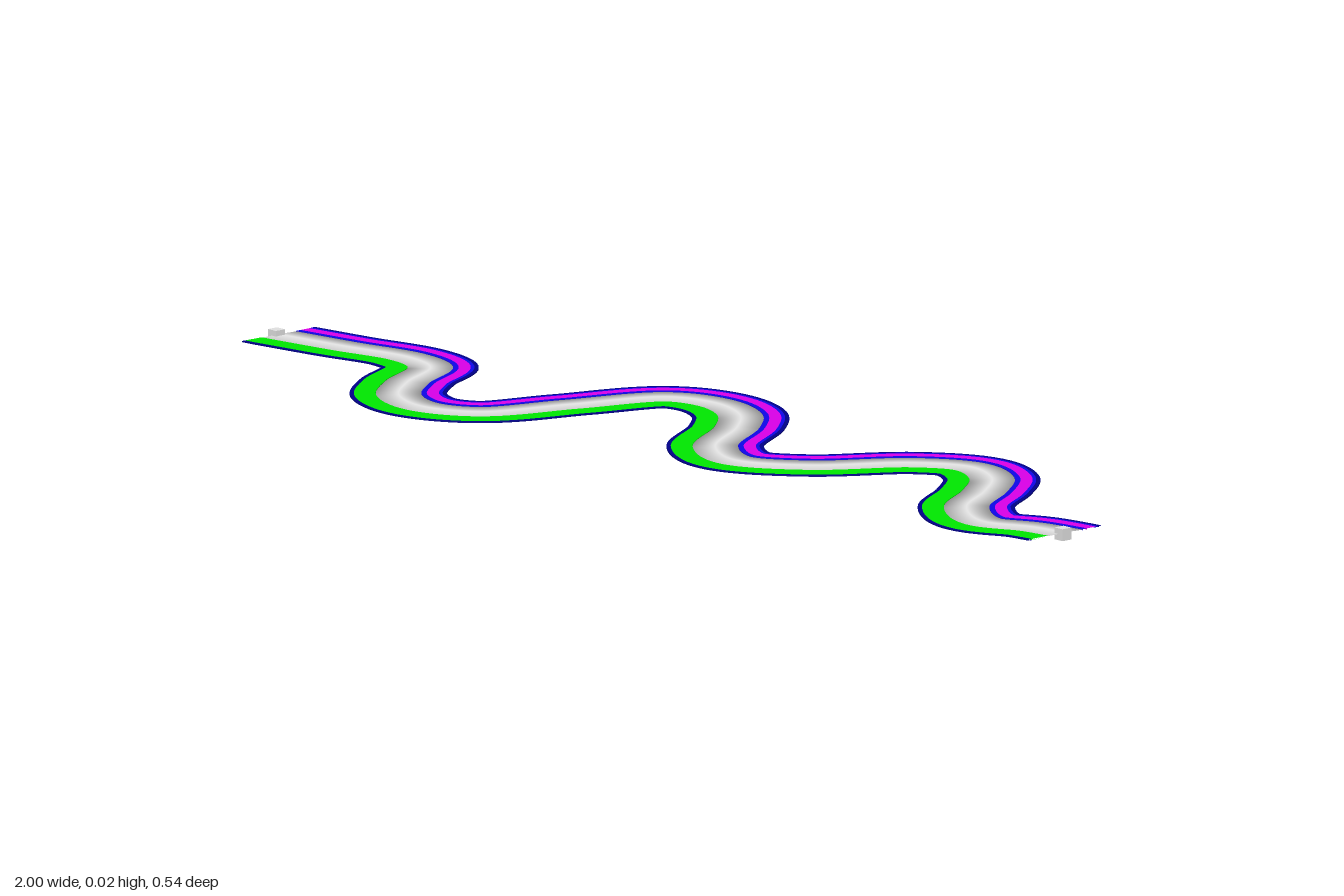
import * as THREE from 'three';

const material = (name, color) => new THREE.MeshStandardMaterial({ name, color });

const navy = material('navy', 0x000088);
const blue = material('blue', 0x1008ff);
const magenta = material('magenta', 0xf000ff);
const green = material('green', 0x00ff00);
const white = material('white', 0xffffff);
const grey = material('grey', 0xe0e0e0);

// Centre line of the winding band, as [x, z]
const path = new THREE.CatmullRomCurve3([
  [-0.99, 0.015], [-0.853, -0.008], [-0.72, -0.034], [-0.64, -0.012], [-0.58, 0.09],
  [-0.51, 0.168], [-0.42, 0.192], [-0.33, 0.146], [-0.275, -0.005], [-0.215, -0.16],
  [-0.13, -0.19], [-0.04, -0.165], [0.035, -0.095], [0.12, 0.025], [0.222, 0.068],
  [0.33, 0.0], [0.425, -0.14], [0.51, -0.192], [0.595, -0.165], [0.665, -0.09],
  [0.735, 0.01], [0.837, 0.062], [0.92, 0.028], [0.99, 0.015],
].map(([x, z]) => new THREE.Vector3(x, 0, z)));

const STEPS = 260;
const MID = 0.01;      // height of the band
const HALF = 0.001;    // half its thickness
const frames = Array.from({ length: STEPS + 1 }, (_, i) => {
  const p = path.getPointAt(i / STEPS);
  const t = path.getTangentAt(i / STEPS);
  if (i === 0 || i === STEPS) t.set(1, 0, 0);
  return { p, t };
});

// Sweeps section sides along the path; each side joins two points
// given as [side offset, height, sideways normal, upward normal]
function sweep(name, sides, mat) {
  const positions = [];
  const normals = [];
  const index = [];
  for (const side of sides) {
    const start = positions.length / 3;
    frames.forEach(({ p, t }, i) => {
      for (const [s, y, ns, ny] of side) {
        positions.push(p.x - t.z * s, y, p.z + t.x * s);
        normals.push(-t.z * ns, ny, t.x * ns);
      }
      const k = start + i * 2;
      if (i < STEPS) index.push(k, k + 1, k + 2, k + 1, k + 3, k + 2);
    });
  }
  const geometry = new THREE.BufferGeometry();
  geometry.setAttribute('position', new THREE.Float32BufferAttribute(positions, 3));
  geometry.setAttribute('normal', new THREE.Float32BufferAttribute(normals, 3));
  geometry.setIndex(index);
  const mesh = new THREE.Mesh(geometry, mat);
  mesh.name = name;
  return mesh;
}

// Flat stripe with square edges
function stripe(name, a, b, mat) {
  const top = MID + HALF, low = MID - HALF;
  return sweep(name, [
    [[a, top, 0, 1], [b, top, 0, 1]],
    [[b, top, 1, 0], [b, low, 1, 0]],
    [[b, low, 0, -1], [a, low, 0, -1]],
    [[a, low, -1, 0], [a, top, -1, 0]],
  ], mat);
}

// Softly rounded, lens-shaped stripe with smooth normals
function roundedStripe(name, a, b, mat) {
  const m = (a + b) / 2;
  const back = [a, MID, -1, 0], front = [b, MID, 1, 0];
  const top = [m, MID + HALF, 0, 1], low = [m, MID - HALF, 0, -1];
  return sweep(name, [[back, top], [top, front], [front, low], [low, back]], mat);
}

export function createModel() {
  const model = new THREE.Group();
  model.name = 'windingBand';

  // Coloured borders and the pale bed between them
  model.add(
    stripe('backEdge', -0.08, -0.073, navy),
    stripe('backOuterBlue', -0.073, -0.067, blue),
    stripe('backMagenta', -0.067, -0.047, magenta),
    stripe('backInnerBlue', -0.047, -0.038, blue),
    roundedStripe('bed', -0.038, 0.037, white),
    stripe('frontGreen', 0.037, 0.073, green),
    stripe('frontEdge', 0.073, 0.08, navy),
  );

  // Small cube at each end
  for (const side of [-1, 1]) {
    const cube = new THREE.Mesh(new THREE.BoxGeometry(0.02, 0.02, 0.02), grey);
    cube.name = side < 0 ? 'rightEndCube' : 'leftEndCube';
    cube.position.set(side * 0.99, MID, 0.02);
    model.add(cube);
  }
  return model;
}
